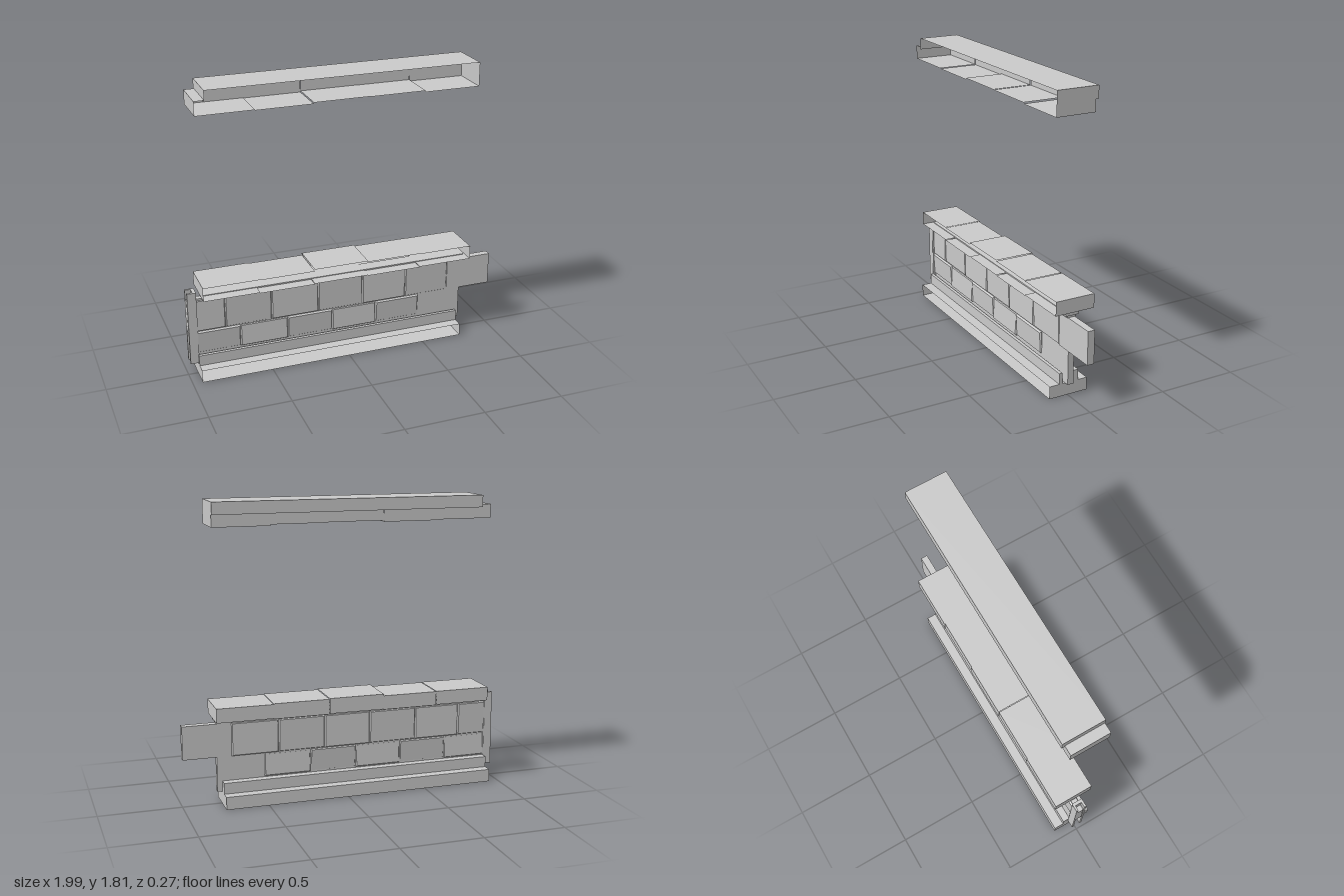
import * as THREE from 'three';

const mat = new THREE.MeshStandardMaterial({ color: 0xcccccc, flatShading: true, side: THREE.DoubleSide });
const FACES = ['right', 'left', 'top', 'bottom', 'front', 'back'];

// Box given by its limits, with any listed faces left open
function block(parent, name, [x0, x1], [y0, y1], [z0, z1], open = []) {
  const geo = new THREE.BoxGeometry(x1 - x0, y1 - y0, z1 - z0);
  const index = Array.from(geo.index.array);
  geo.setIndex(index.filter((_, i) => !open.includes(FACES[Math.floor(i / 6)])));
  geo.clearGroups();
  const mesh = new THREE.Mesh(geo, mat);
  mesh.name = name;
  mesh.position.set((x0 + x1) / 2, (y0 + y1) / 2, (z0 + z1) / 2);
  parent.add(mesh);
  return mesh;
}

// Brick whose front and back faces are slightly smaller than its middle
function brick(parent, name, x, y, z, tilt = 0) {
  const w = x[1] - x[0], h = y[1] - y[0], d = z[1] - z[0];
  const geo = new THREE.BoxGeometry(w, h, d, 1, 1, 3);
  const p = geo.attributes.position;
  for (let i = 0; i < p.count; i++) {
    const outer = Math.abs(p.getZ(i)) > d * 0.4;
    if (outer) {
      p.setX(i, p.getX(i) * (1 - 0.012 / w));
      p.setY(i, p.getY(i) * (1 - 0.012 / h));
    } else p.setZ(i, p.getZ(i) * 2);
    p.setZ(i, p.getZ(i) + tilt * p.getY(i) / h);
  }
  const mesh = new THREE.Mesh(geo, mat);
  mesh.name = name;
  mesh.position.set((x[0] + x[1]) / 2, (y[0] + y[1]) / 2, (z[0] + z[1]) / 2);
  parent.add(mesh);
}

function group(parent, name) {
  const g = new THREE.Group();
  g.name = name;
  parent.add(g);
  return g;
}

export function createModel() {
  const model = new THREE.Group();
  model.name = 'wallSection';

  // Plinth, open at the front, with a thin front lip and a solid back step
  const plinth = group(model, 'plinth');
  block(plinth, 'plinthBase', [-0.94, 0.76], [0, 0.078], [-0.13, 0.12], ['front']);
  block(plinth, 'plinthFrontLip', [-0.94, 0.76], [0.078, 0.145], [0.035, 0.055]);
  block(plinth, 'plinthBackStep', [-0.94, 0.76], [0.078, 0.145], [-0.07, -0.02]);

  // Wall core with the projecting end block
  const wall = group(model, 'wall');
  block(wall, 'wallCore', [-0.95, 0.79], [0.08, 0.51], [-0.02, 0.018]);
  block(wall, 'projectingBlock', [0.7, 0.995], [0.295, 0.5], [-0.02, 0.024]);

  // Two staggered courses of bricks
  const upper = [-0.99, -0.76, -0.47, -0.17, 0.12, 0.41, 0.7];
  const lower = [-0.95, -0.67, -0.37, -0.08, 0.21, 0.5, 0.79];
  for (let i = 0; i < 6; i++) {
    const s = i % 2 ? 0.004 : -0.004;
    brick(wall, 'upperBrick', [upper[i], upper[i + 1]], [0.295, 0.5], [-0.029, 0.026], s);
    if (i < 5) brick(wall, 'lowerBrick', [lower[i], lower[i + 1]], [0.15, 0.292], [-0.024, 0.028], -s * 2);
  }

  // Grooved jamb at the right-hand end
  const jamb = group(model, 'endJamb');
  block(jamb, 'jambWeb', [-0.955, -0.935], [0.09, 0.56], [-0.03, 0.035]);
  block(jamb, 'jambFrontFlange', [-0.99, -0.94], [0.09, 0.56], [0.022, 0.037]);
  block(jamb, 'jambBackFlange', [-0.99, -0.94], [0.09, 0.56], [-0.033, -0.02]);

  // Moulding under the coping
  const moulding = group(model, 'moulding');
  block(moulding, 'mouldingStrip', [-0.9, 0.8], [0.515, 0.54], [-0.04, 0.045]);
  block(moulding, 'mouldingBead', [-0.9, 0.79], [0.5, 0.518], [-0.028, 0.032]);

  // Five coping stones and five lintel stones, open at the front
  const coping = group(model, 'coping');
  const lintel = group(model, 'lintel');
  const tops = [0.62, 0.618, 0.63, 0.625, 0.622];
  const bottoms = [1.673, 1.67, 1.678, 1.676, 1.668];
  const step = 1.72 / 5;
  for (let i = 0; i < 5; i++) {
    const x = [-0.91 + i * step, -0.91 + (i + 1) * step];
    const open = ['front'];
    if (i > 0) open.push('left');
    if (i < 4) open.push('right');
    block(coping, 'copingStone', x, [0.536 - (i % 2) * 0.004, tops[i]], [-0.135 + (i % 2) * 0.004, 0.118], open);
    block(lintel, 'lintelStone', x, [bottoms[i], 1.742], [-0.11 - (i % 2) * 0.004, 0.133], [...open, 'top']);
  }

  // Lintel slab, stopping short of the ledge at the right-hand end
  block(lintel, 'lintelSlab', [-0.85, 0.81], [1.742, 1.813], [-0.128, 0.133], ['front', 'bottom']);
  block(lintel, 'lintelEndLedge', [-0.91, -0.85], [1.742, 1.757], [-0.11, 0.133], ['bottom', 'front']);
  block(lintel, 'lintelOverhang', [-0.85, 0.81], [1.74, 1.744], [-0.128, -0.109]);
  return model;
}
